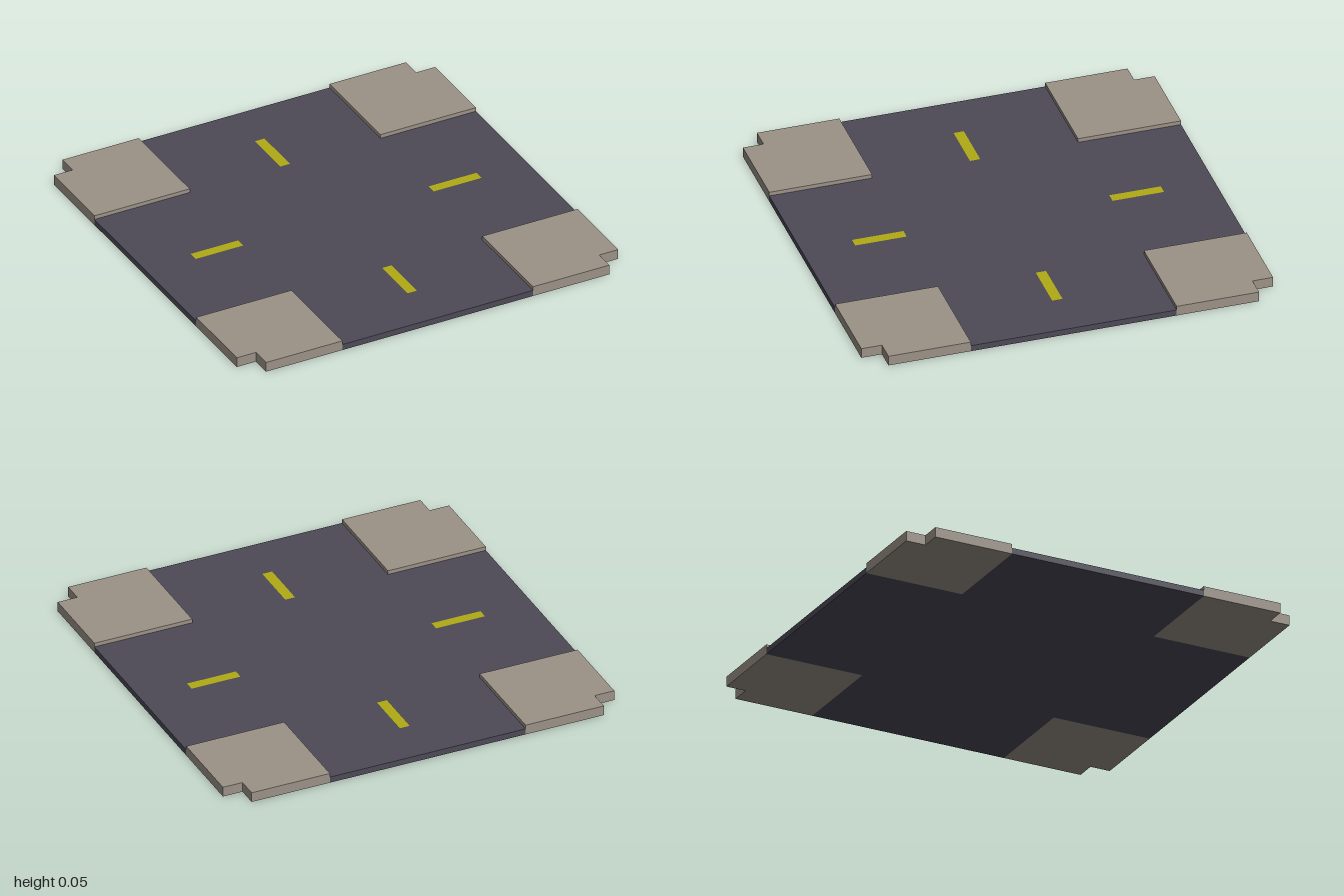
import * as THREE from 'three';

const ROAD_TOP = 0.03;
const PAVEMENT_TOP = 0.05;

// Extrude a plan outline upward from y = 0
function slab(points, height) {
  const shape = new THREE.Shape(points.map(([x, y]) => new THREE.Vector2(x, y)));
  const geometry = new THREE.ExtrudeGeometry(shape, { depth: height, bevelEnabled: false });
  return geometry.rotateX(-Math.PI / 2);
}

export function createModel() {
  const model = new THREE.Group();
  model.name = 'crossroads';

  const asphalt = new THREE.MeshStandardMaterial({ color: 0x4d4a57 });
  const paving = new THREE.MeshStandardMaterial({ color: 0x9b9287 });
  const paint = new THREE.MeshStandardMaterial({ color: 0xb0aa14 });

  // Cross-shaped road surface
  const road = new THREE.Mesh(slab([
    [-0.5, -1], [0.5, -1], [0.5, -0.5], [1, -0.5], [1, 0.5], [0.5, 0.5],
    [0.5, 1], [-0.5, 1], [-0.5, 0.5], [-1, 0.5], [-1, -0.5], [-0.5, -0.5],
  ], ROAD_TOP), asphalt);
  road.name = 'road';
  model.add(road);

  // Raised corner pavement with a notch at its outer corner
  const pavementGeometry = slab([
    [0.5, 0.5], [1, 0.5], [1, 0.9], [0.9, 0.9], [0.9, 1], [0.5, 1],
  ], PAVEMENT_TOP);

  // Flat painted dash, just above the asphalt
  const dashGeometry = new THREE.PlaneGeometry(0.25, 0.05)
    .rotateX(-Math.PI / 2)
    .translate(0.625, ROAD_TOP + 0.001, 0);

  // One pavement and one dash per quarter turn
  for (let i = 0; i < 4; i++) {
    const pavement = new THREE.Mesh(pavementGeometry, paving);
    pavement.name = `cornerPavement${i + 1}`;
    const dash = new THREE.Mesh(dashGeometry, paint);
    dash.name = `laneMarking${i + 1}`;
    for (const part of [pavement, dash]) {
      part.rotation.y = i * Math.PI / 2;
      model.add(part);
    }
  }

  return model;
}
